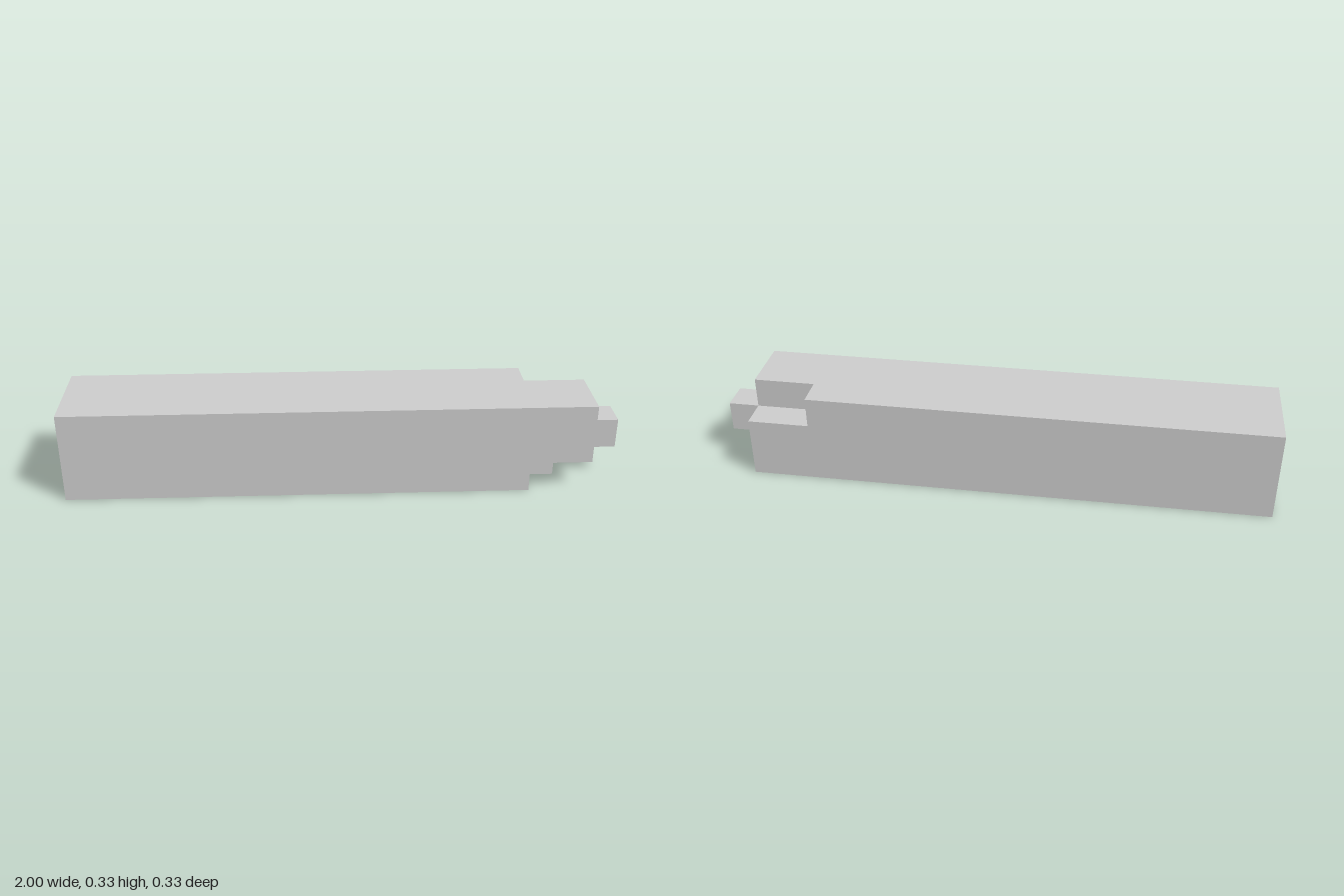
import * as THREE from 'three';
import { mergeGeometries } from 'three/addons/utils/BufferGeometryUtils.js';

const U = 1 / 9; // one cell of the 3 x 3 cross-section
const START = -9;

// Where each column of cells ends along x: rows bottom to top, columns back to front
const ENDS = [
  [8, 7, 6],
  [8, 9, 8],
  [6, 8, 8],
];
const SIDES = [[1, 0], [-1, 0], [0, 1], [0, -1]];

// Outer skin of all columns between x = lo and x = hi, without inner walls
function skin(lo, hi) {
  const faces = [];
  ENDS.forEach((row, j) => row.forEach((end, k) => {
    const y = j + 0.5, z = k - 1;

    // Side walls, only where the neighbouring column is shorter
    for (const [dy, dz] of SIDES) {
      const from = Math.max(ENDS[j + dy]?.[k + dz] ?? START, lo);
      const to = Math.min(end, hi);
      if (to <= from) continue;
      faces.push(new THREE.PlaneGeometry(to - from, 1)
        .rotateX(Math.atan2(-dy, dz))
        .translate((from + to) / 2, y + dy / 2, z + dz / 2));
    }

    // End caps
    if (end > lo && end <= hi) {
      faces.push(new THREE.PlaneGeometry(1, 1).rotateY(Math.PI / 2).translate(end, y, z));
    }
    if (lo === START) {
      faces.push(new THREE.PlaneGeometry(1, 1).rotateY(-Math.PI / 2).translate(lo, y, z));
    }
  }));
  return mergeGeometries(faces).scale(U, U, U);
}

export function createModel() {
  const group = new THREE.Group();
  group.name = 'notchedBar';
  const material = new THREE.MeshStandardMaterial({ color: 0xcccccc });

  const parts = [['shaft', START, 6], ['notchedEnd', 6, 8], ['peg', 8, 9]];
  for (const [name, lo, hi] of parts) {
    const mesh = new THREE.Mesh(skin(lo, hi), material);
    mesh.name = name;
    group.add(mesh);
  }
  return group;
}
